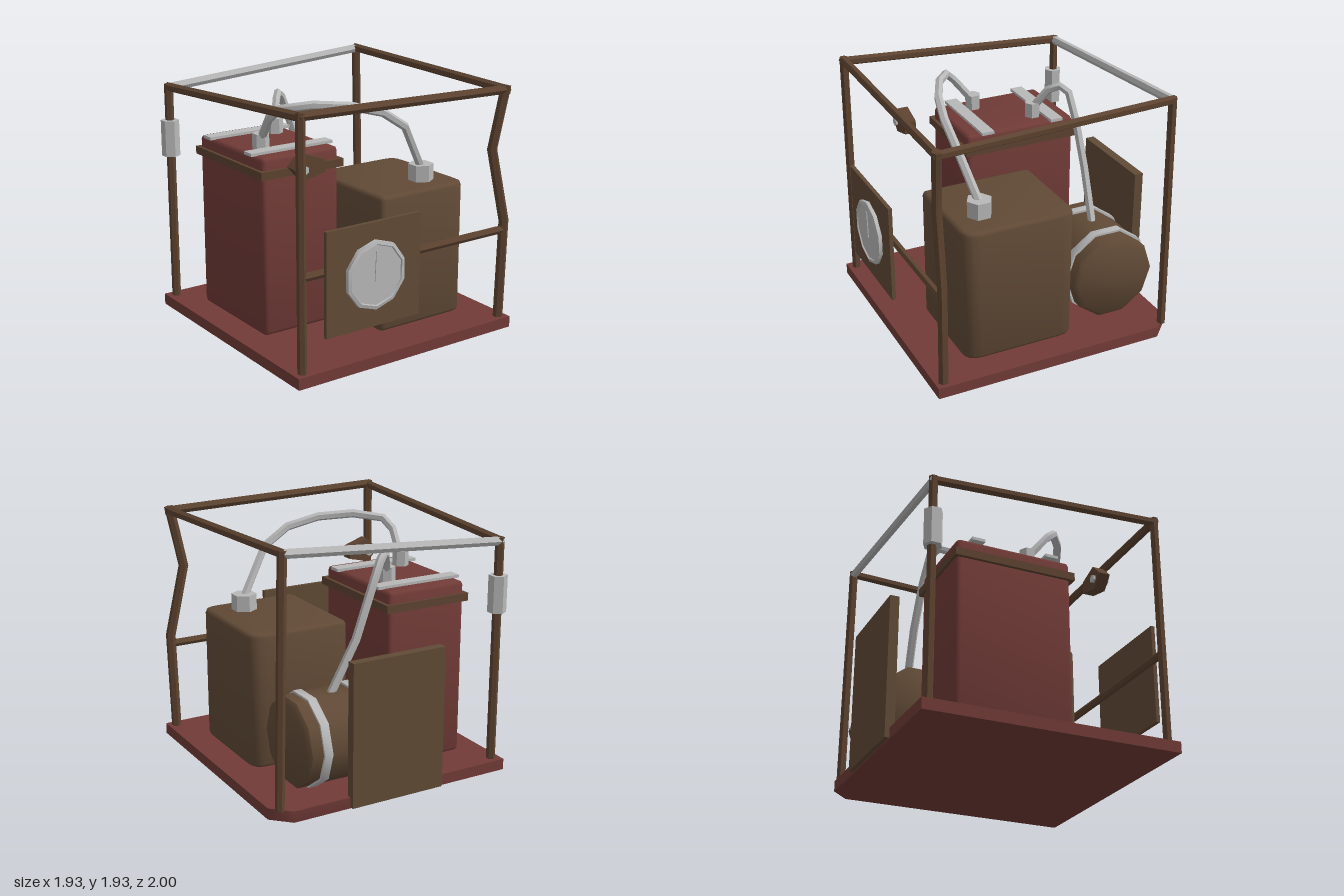
import * as THREE from 'three';
import { toCreasedNormals } from 'three/addons/utils/BufferGeometryUtils.js';

const V = (p) => new THREE.Vector3(...p);
const paint = (name, color) => {
  const m = new THREE.MeshStandardMaterial({ color });
  m.name = name;
  return m;
};

export function createModel() {
  const model = new THREE.Group();
  model.name = 'tankUnit';
  const red = paint('oxideRed', 0x713b37);
  const brown = paint('tankBrown', 0x614a36);
  const frameBrown = paint('frameBrown', 0x5d4330);
  const grey = paint('metalGrey', 0xb8b8b8);

  const add = (name, geo, mat, pos = [0, 0, 0]) => {
    const mesh = new THREE.Mesh(toCreasedNormals(geo, 0.8), mat);
    mesh.name = name;
    mesh.position.set(...pos);
    model.add(mesh);
    return mesh;
  };

  // Box given by its limits on each axis
  const block = (name, mat, [x0, x1], [y0, y1], [z0, z1]) =>
    add(name, new THREE.BoxGeometry(x1 - x0, y1 - y0, z1 - z0), mat,
      [(x0 + x1) / 2, (y0 + y1) / 2, (z0 + z1) / 2]);

  // Straight six-sided bar between two points
  const rod = (name, a, b, r, mat) => {
    const from = V(a), dir = V(b).sub(from), len = dir.length();
    const mesh = add(name, new THREE.CylinderGeometry(r, r, len, 6), mat);
    mesh.position.copy(from).addScaledVector(dir, 0.5);
    mesh.quaternion.setFromUnitVectors(new THREE.Vector3(0, 1, 0), dir.normalize());
  };

  // Faceted pipe with one ring at each given point
  const pipe = (name, pts, r, mat) => {
    const curve = new THREE.CatmullRomCurve3(pts.map(V));
    curve.getPointAt = curve.getPoint;
    curve.getTangentAt = curve.getTangent;
    add(name, new THREE.TubeGeometry(curve, pts.length - 1, r, 6), mat);
  };

  // Upright tank with rounded vertical corners and bevelled top and bottom
  const tank = (name, mat, [x0, x1], [y0, y1], [z0, z1], rl, rr, b) => {
    const s = new THREE.Shape();
    const t = -z1, u = -z0;
    s.moveTo(x0 + rl, t);
    s.lineTo(x1 - rr, t);
    s.quadraticCurveTo(x1, t, x1, t + rr);
    s.lineTo(x1, u - rr);
    s.quadraticCurveTo(x1, u, x1 - rr, u);
    s.lineTo(x0 + rl, u);
    s.quadraticCurveTo(x0, u, x0, u - rl);
    s.lineTo(x0, t + rl);
    s.quadraticCurveTo(x0, t, x0 + rl, t);
    const g = new THREE.ExtrudeGeometry(s, {
      depth: y1 - y0 - 2 * b, curveSegments: 4,
      bevelEnabled: true, bevelSize: b, bevelThickness: b, bevelOffset: -b, bevelSegments: 2,
    });
    g.rotateX(-Math.PI / 2);
    add(name, g, mat, [0, y0 + b, 0]);
  };

  // Flat outline extruded along z
  const plate = (name, pts, depth, mat, pos) => add(name, new THREE.ExtrudeGeometry(
    new THREE.Shape(pts.map(([x, y]) => new THREE.Vector2(x, y))), { depth, bevelEnabled: false }), mat, pos);

  // Base with one clipped corner
  const base = plate('base', [[-0.97, -0.975], [0.965, -0.975], [0.965, 0.83], [0.83, 0.965], [-0.97, 0.965]], 0.085, red);
  base.rotation.x = -Math.PI / 2;

  // Cage frame
  const r = 0.034;
  rod('frontLeftPost', [-0.9, 0.08, 0.91], [-0.9, 1.915, 0.91], r, frameBrown);
  rod('backLeftPost', [-0.9, 0.08, -0.895], [-0.9, 1.8, -0.895], r, frameBrown);
  rod('backRightPost', [0.905, 0.08, -0.895], [0.865, 1.92, -0.895], r, frameBrown);
  pipe('bentPost', [[0.9, 0.08, 0.91], [0.92, 0.85, 0.91], [0.8, 1.41, 0.885], [0.885, 1.86, 0.91]], 0.038, frameBrown);
  rod('bentPostTip', [0.882, 1.82, 0.91], [0.89, 1.88, 0.91], 0.038, frameBrown);
  rod('frontTopBar', [-0.92, 1.89, 0.91], [0.91, 1.85, 0.91], r, frameBrown);
  rod('leftTopBar', [-0.9, 1.885, 0.93], [-0.9, 1.775, -0.91], r, frameBrown);
  rod('rightTopBar', [0.89, 1.85, 0.92], [0.865, 1.9, -0.91], r, frameBrown);
  rod('backTopBar', [-0.92, 1.77, -0.895], [0.86, 1.895, -0.895], r, grey);
  rod('middleBar', [-0.9, 0.78, 0.91], [0.9, 0.78, 0.91], 0.03, frameBrown);

  // Tall tank with band and top straps
  tank('tallTank', red, [-0.775, -0.12], [0.085, 1.435], [-0.655, 0.24], 0.04, 0.04, 0.03);
  block('tankBand', frameBrown, [-0.8, -0.093], [1.285, 1.345], [-0.675, 0.265]);
  for (const z of [-0.5, 0.08])
    block('topStrap', grey, [-0.8, -0.095], [1.432, 1.455], [z - 0.05, z + 0.05]);

  // Square tank
  tank('squareTank', brown, [-0.035, 0.76], [0.085, 1.125], [-0.22, 0.662], 0.045, 0.12, 0.03);

  // Drum lying along x with two hoops
  const lying = (name, r0, r1, x0, x1, mat) => {
    const g = new THREE.CylinderGeometry(r0, r1, x1 - x0, 10);
    g.rotateZ(Math.PI / 2);
    add(name, g, mat, [(x0 + x1) / 2, 0.432, -0.593]);
  };
  lying('drumBody', 0.338, 0.338, 0.03, 0.66, brown);
  lying('drumRim', 0.338, 0.305, 0.66, 0.69, brown);
  lying('drumRim', 0.305, 0.338, 0, 0.03, brown);
  for (const x of [0.12, 0.507]) lying('drumHoop', 0.355, 0.355, x, x + 0.066, grey);

  // Hexagonal fittings and post sleeve
  const hex = (name, rad, x, z, y0, y1) =>
    add(name, new THREE.CylinderGeometry(rad, rad, y1 - y0, 6), grey, [x, (y0 + y1) / 2, z]);
  hex('pipeFitting', 0.062, -0.62, -0.03, 1.42, 1.55);
  hex('pipeFitting', 0.062, -0.275, -0.38, 1.42, 1.55);
  hex('largeFitting', 0.097, 0.5, 0.435, 1.11, 1.25);
  hex('postSleeve', 0.07, -0.902, -0.89, 1.24, 1.52);

  // Pipes
  pipe('longPipe', [[-0.62, 1.5, -0.03], [-0.64, 1.69, 0.12], [-0.6, 1.765, 0.2], [-0.41, 1.795, 0.335],
    [-0.16, 1.775, 0.45], [0.08, 1.71, 0.51], [0.28, 1.58, 0.51], [0.5, 1.22, 0.435]], 0.033, grey);
  pipe('drumPipe', [[-0.275, 1.5, -0.38], [-0.2, 1.66, -0.475], [-0.14, 1.7, -0.545], [-0.08, 1.66, -0.59],
    [0.01, 1.45, -0.61], [0.135, 1.12, -0.622], [0.33, 0.73, -0.595]], 0.032, grey);

  // Front and back panels
  block('frontPanel', brown, [-0.735, 0.073], [0.315, 1.085], [0.935, 0.965]);
  block('backPanel', brown, [-0.38, 0.38], [0.01, 1.09], [-1, -0.93]);

  // Dial with raised rim and needle
  const profile = [[0.255, 0], [0.255, 0.03], [0.228, 0.037], [0.222, 0.027], [0, 0.027]];
  const dial = new THREE.LatheGeometry(profile.map(([x, y]) => new THREE.Vector2(x, y)), 10);
  dial.rotateX(Math.PI / 2);
  dial.rotateZ(Math.PI);
  add('dial', dial, grey, [-0.33, 0.705, 0.963]);
  plate('needle', [[-0.016, -0.04], [0.016, -0.04], [0.006, 0.175], [-0.006, 0.175]], 0.007, grey, [-0.33, 0.705, 0.99]);

  // Loose bracket and its bolt
  plate('bracket', [[-0.745, 1.435], [-0.655, 1.34], [-0.485, 1.38], [-0.49, 1.475], [-0.65, 1.53]], 0.09, frameBrown, [0, 0, 0.505]);
  rod('bracketBolt', [-0.66, 1.42, 0.487], [-0.66, 1.42, 0.613], 0.032, grey);

  return model;
}
